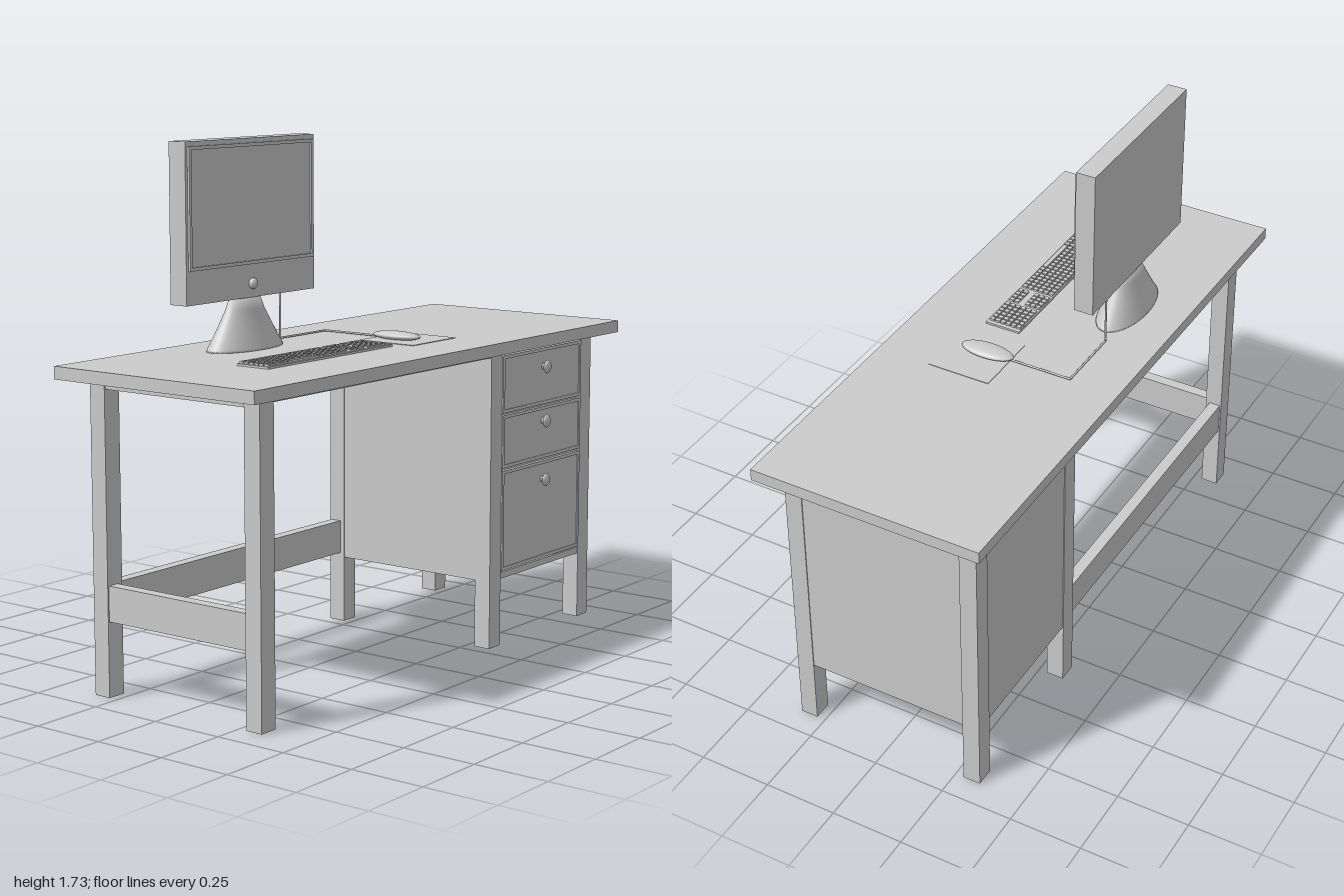
import * as THREE from 'three';
import { mergeGeometries } from 'three/addons/utils/BufferGeometryUtils.js';

const material = new THREE.MeshStandardMaterial({ color: 0xcccccc });

function add(parent, name, geometry) {
  const mesh = new THREE.Mesh(geometry, material);
  mesh.name = name;
  parent.add(mesh);
  return mesh;
}

// Box geometry given by its limits on each axis
function span(x0, x1, y0, y1, z0, z1) {
  return new THREE.BoxGeometry(x1 - x0, y1 - y0, z1 - z0)
    .translate((x0 + x1) / 2, (y0 + y1) / 2, (z0 + z1) / 2);
}

function box(parent, name, ...limits) {
  return add(parent, name, span(...limits));
}

// Rectangular ring, extruded forward from z
function frame(x0, x1, y0, y1, width, z, depth) {
  const rect = (Type, i) => new Type([
    new THREE.Vector2(x0 + i, y0 + i), new THREE.Vector2(x1 - i, y0 + i),
    new THREE.Vector2(x1 - i, y1 - i), new THREE.Vector2(x0 + i, y1 - i)]);
  const shape = rect(THREE.Shape, 0);
  shape.holes.push(rect(THREE.Path, width));
  return new THREE.ExtrudeGeometry(shape, { depth, bevelEnabled: false }).translate(0, 0, z);
}

const TOP = 1.053;
const UNDER = 1.012;

function createDesk() {
  const desk = new THREE.Group();
  desk.name = 'desk';
  box(desk, 'tabletop', -1, 1, UNDER, TOP, -0.4, 0.4);

  // Six legs in three pairs
  for (const x of [-0.905, 0.295, 0.85])
    for (const z of [-0.34, 0.28])
      box(desk, 'leg', x, x + 0.065, 0, UNDER, z, z + 0.06);

  // Thin rails under the top
  for (const z of [-0.335, 0.295]) box(desk, 'topRail', -0.84, 0.295, 0.993, UNDER, z, z + 0.04);
  box(desk, 'topSideRail', -0.9, -0.86, 0.98, UNDER, -0.28, 0.28);

  // Low stretchers at the back and the open side
  box(desk, 'backStretcher', -0.84, 0.295, 0.245, 0.36, -0.335, -0.295);
  box(desk, 'sideStretcher', -0.9, -0.86, 0.245, 0.36, -0.28, 0.28);
  return desk;
}

function createCabinet() {
  const cabinet = new THREE.Group();
  cabinet.name = 'drawerCabinet';
  box(cabinet, 'cabinetBody', 0.298, 0.912, 0.23, UNDER, -0.337, 0.33);
  box(cabinet, 'bottomRail', 0.36, 0.85, 0.23, 0.252, 0.33, 0.337);

  // Knob profile: rosette, neck and domed head
  const profile = [[0, 0], [0.012, 0], [0.011, 0.003], [0.005, 0.006], [0.005, 0.014],
    [0.02, 0.016], [0.023, 0.019], [0.018, 0.024], [0.009, 0.027], [0, 0.028]]
    .map(([r, h]) => new THREE.Vector2(r, h));
  const knobGeometry = new THREE.LatheGeometry(profile, 24).rotateX(Math.PI / 2);

  for (const [y0, y1, knobY] of [[0.803, 0.99, 0.93], [0.615, 0.787, 0.742], [0.262, 0.597, 0.537]]) {
    const drawer = new THREE.Group();
    drawer.name = 'drawer';
    box(drawer, 'drawerFront', 0.366, 0.844, y0, y1, 0.325, 0.34);
    add(drawer, 'drawerBorder', frame(0.362, 0.848, y0 - 0.004, y1 + 0.004, 0.011, 0.33, 0.013));
    add(drawer, 'drawerKnob', knobGeometry).position.set(0.61, knobY, 0.338);
    cabinet.add(drawer);
  }
  return cabinet;
}

function createMonitor() {
  const monitor = new THREE.Group();
  monitor.name = 'monitor';
  box(monitor, 'monitorCase', -0.65, -0.015, 1.22, 1.73, -0.232, -0.165);
  add(monitor, 'screenBezel', frame(-0.64, -0.025, 1.328, 1.715, 0.011, -0.166, 0.009));
  box(monitor, 'screen', -0.63, -0.035, 1.338, 1.705, -0.166, -0.163);

  const button = add(monitor, 'roundButton', new THREE.SphereGeometry(0.018, 20, 12));
  button.position.set(-0.333, 1.265, -0.16);
  button.scale.z = 0.75;

  // Flared oval foot
  const flare = [[0, 0], [0.17, 0], [0.166, 0.008], [0.14, 0.045], [0.11, 0.09],
    [0.085, 0.13], [0.067, 0.17], [0, 0.17]].map(([r, h]) => new THREE.Vector2(r, h));
  const foot = add(monitor, 'monitorFoot', new THREE.LatheGeometry(flare, 40));
  foot.position.set(-0.333, TOP, -0.197);
  foot.scale.z = 0.46;
  return monitor;
}

function createKeyboard() {
  const keyboard = new THREE.Group();
  keyboard.name = 'keyboard';
  box(keyboard, 'keyboardBase', -0.652, -0.02, TOP, TOP + 0.007, 0.04, 0.165);

  // Key blocks: start x, number of columns
  const keys = [];
  const pitch = 0.0198;
  const key = (x, z, w) => keys.push(span(x, x + w, TOP + 0.006, TOP + 0.014, z, z + 0.015));
  for (const [start, columns, block] of [[-0.646, 20, 'main'], [-0.238, 4, 'middle'], [-0.148, 6, 'number']])
    for (let row = 0; row < 6; row++)
      for (let c = 0; c < columns; c++) {
        const x = start + c * pitch;
        const z = 0.044 + row * 0.0198;
        const bar = block === 'main' && row === 5 && c > 4 && c < 13;
        if (bar) {
          if (c === 5) key(x, z, pitch * 8 - 0.005);
        } else if (!(block === 'middle' && row === 3)) {
          key(x, z, 0.015);
        }
      }
  add(keyboard, 'keys', mergeGeometries(keys));
  return keyboard;
}

function createMouse() {
  const mouse = new THREE.Group();
  mouse.name = 'mouse';
  box(mouse, 'mousePad', 0.03, 0.27, TOP, TOP + 0.002, -0.01, 0.21);
  const body = add(mouse, 'mouseBody', new THREE.SphereGeometry(1, 28, 16));
  body.position.set(0.127, TOP + 0.013, 0.073);
  body.scale.set(0.039, 0.015, 0.094);

  // Cable: down from the screen, along the table, forward to the mouse
  const path = new THREE.CurvePath();
  const points = [[-0.115, 1.23, -0.229], [-0.115, TOP + 0.006, -0.229],
    [0.127, TOP + 0.006, -0.229], [0.127, TOP + 0.006, -0.01]].map(p => new THREE.Vector3(...p));
  for (let i = 0; i < 3; i++) path.add(new THREE.LineCurve3(points[i], points[i + 1]));
  const pieces = path.curves.map(c => new THREE.TubeGeometry(c, 1, 0.0035, 8));
  for (const p of points.slice(1, 3))
    pieces.push(new THREE.SphereGeometry(0.0035, 8, 6).translate(p.x, p.y, p.z));
  add(mouse, 'mouseCable', mergeGeometries(pieces));
  return mouse;
}

export function createModel() {
  const model = new THREE.Group();
  model.name = 'computerDesk';
  model.add(createDesk(), createCabinet(), createMonitor(), createKeyboard(), createMouse());
  return model;
}
